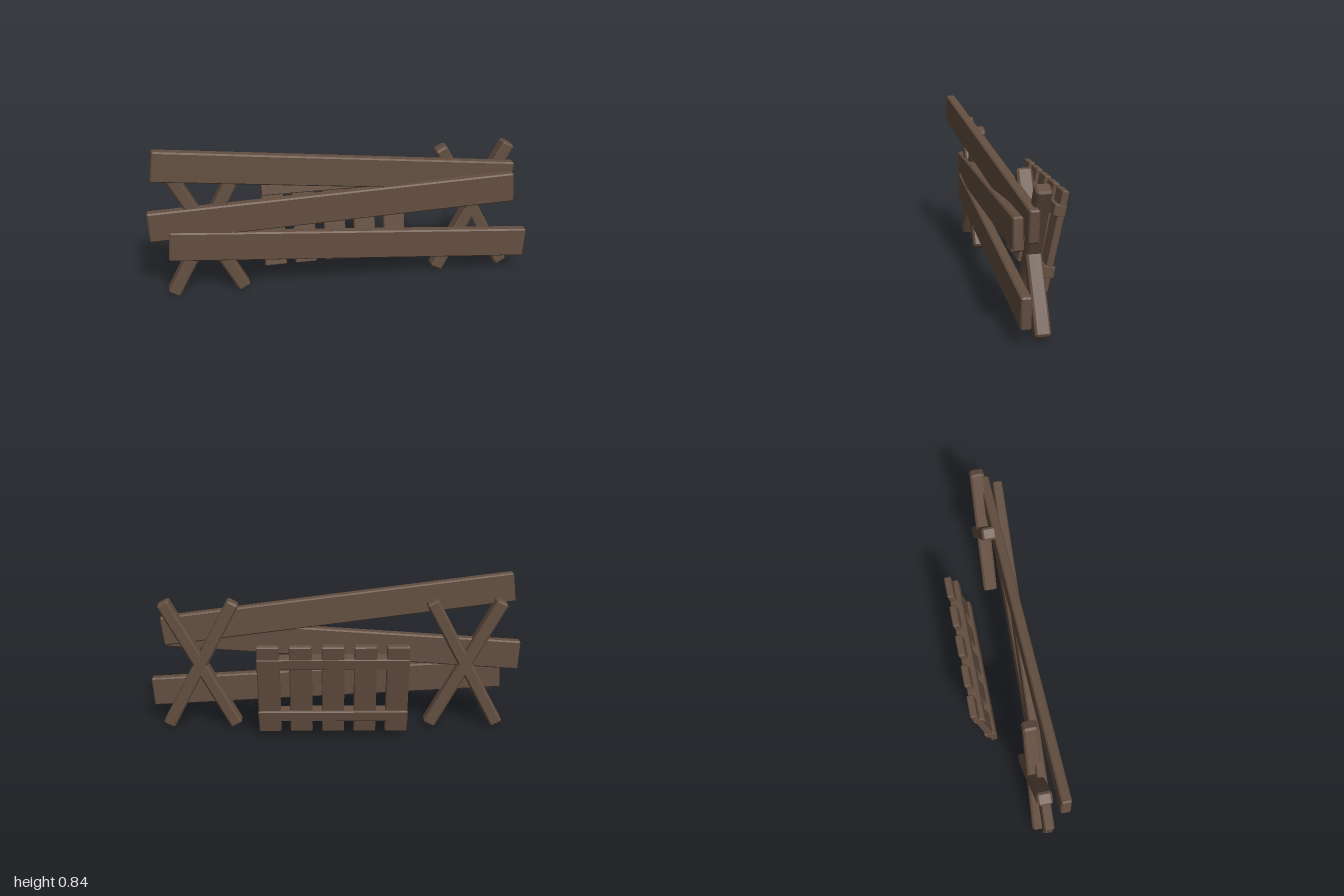
import * as THREE from 'three';
import { ConvexGeometry } from 'three/addons/geometries/ConvexGeometry.js';

const wood = new THREE.MeshStandardMaterial({ color: 0x644f41, flatShading: true });
wood.name = 'brown wood';

// Box with chamfered edges, centred on the origin
function chamferedBox(w, h, d, c) {
  const points = [];
  for (const x of [-1, 1]) for (const y of [-1, 1]) for (const z of [-1, 1]) {
    const hx = w / 2, hy = h / 2, hz = d / 2;
    points.push(
      new THREE.Vector3(x * hx, y * (hy - c), z * (hz - c)),
      new THREE.Vector3(x * (hx - c), y * hy, z * (hz - c)),
      new THREE.Vector3(x * (hx - c), y * (hy - c), z * hz));
  }
  return new ConvexGeometry(points);
}

function board(name, size, position, rotation = [0, 0, 0], chamfer = 0.007) {
  const mesh = new THREE.Mesh(chamferedBox(...size, chamfer), wood);
  mesh.name = name;
  mesh.position.set(...position);
  mesh.rotation.set(...rotation);
  return mesh;
}

// Two crossed beams
function trestle(name, x) {
  const group = new THREE.Group();
  group.name = name;
  for (const s of [-1, 1]) {
    group.add(board('crossedBeam', [0.067, 0.791, 0.075], [0, 0, 0], [0, 0, s * 0.489], 0.01));
  }
  group.position.set(x, 0.365, 0.0675);
  return group;
}

// Leaning rack of upright slats joined by two rails
function slatRack() {
  const group = new THREE.Group();
  group.name = 'slatRack';
  for (let i = -2; i <= 2; i++) {
    group.add(board('slat', [0.117, 0.528, 0.036], [i * 0.1665, 0, 0], [0, 0, 0], 0.005));
  }
  group.add(board('upperRail', [0.786, 0.062, 0.062], [0, 0.161, 0.01], [0, 0, 0], 0.005));
  group.add(board('lowerRail', [0.786, 0.062, 0.062], [0, -0.158, 0], [0, 0, 0], 0.005));
  group.position.set(0.003, 0.301, -0.132);
  group.rotation.x = -0.2066;
  return group;
}

export function createModel() {
  const model = new THREE.Group();
  model.name = 'barricade';
  model.add(trestle('rightTrestle', -0.705), trestle('leftTrestle', 0.71));

  // Long planks, each skewed across the trestles
  model.add(
    board('topPlank', [1.885, 0.158, 0.05], [-0.025, 0.654, 0.131], [0, 0.023, -0.122]),
    board('middlePlank', [1.897, 0.158, 0.05], [-0.048, 0.459, 0.13], [0, -0.053, 0.052]),
    board('bottomPlank', [1.894, 0.158, 0.05], [0.045, 0.235, 0.13], [0, -0.037, -0.07]));

  model.add(slatRack());
  return model;
}
